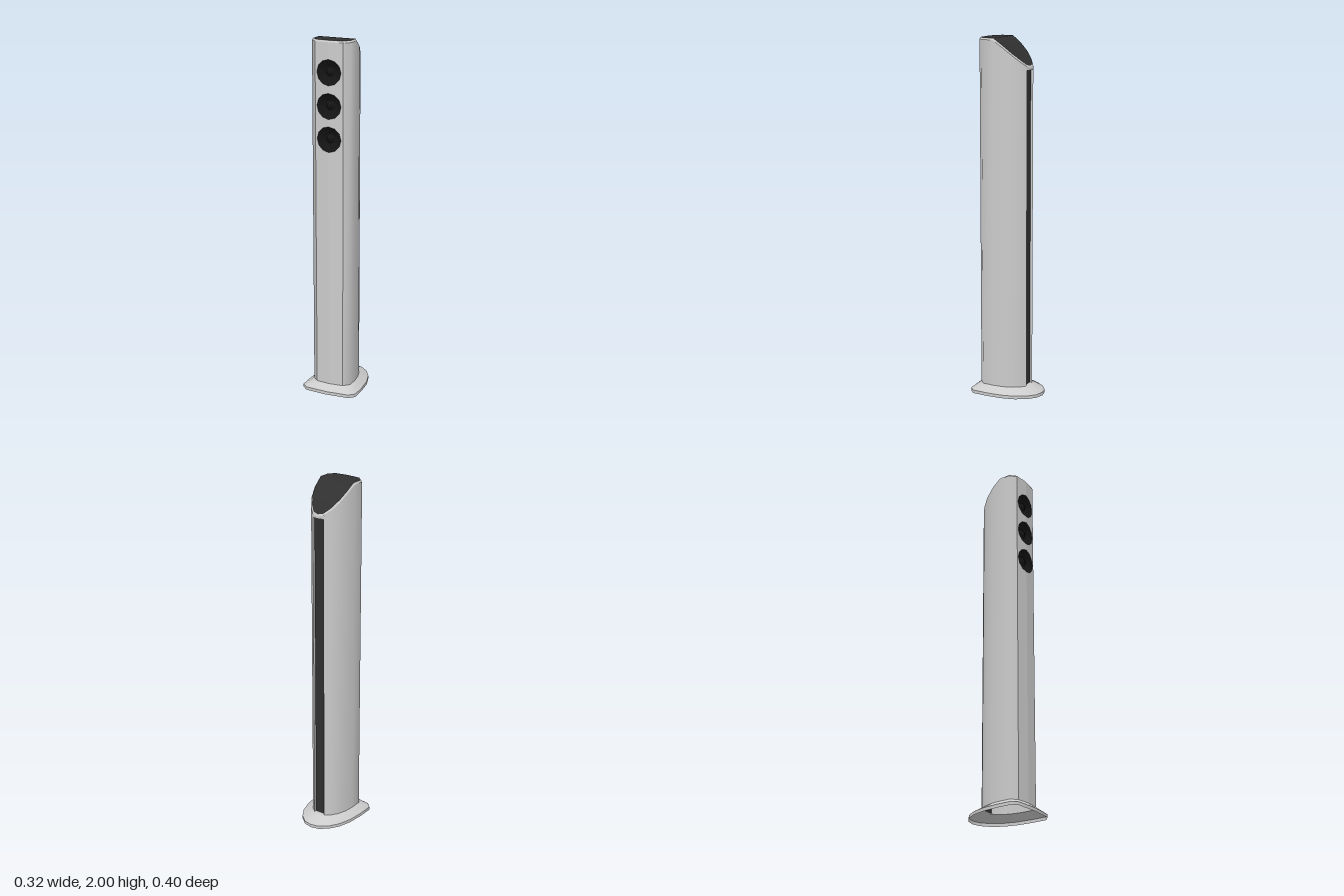
import * as THREE from 'three';
import { toCreasedNormals } from 'three/addons/utils/BufferGeometryUtils.js';

const grey = new THREE.MeshStandardMaterial({ color: 0xcccccc, side: THREE.DoubleSide });
const dark = new THREE.MeshStandardMaterial({ color: 0x303030, side: THREE.DoubleSide });
const black = new THREE.MeshStandardMaterial({ color: 0x141414, side: THREE.DoubleSide });

// Half outlines [x, z], from front centre round the left side to back centre
const column = [[0, 0.16], [0.08, 0.152], [0.113, 0.12], [0.113, 0.053], [0.107, 0],
  [0.09, -0.052], [0.064, -0.09], [0.034, -0.115], [0, -0.122]];
const foot = [[0, 0.2], [0.13, 0.19], [0.162, 0.16], [0.162, 0.07], [0.153, -0.02],
  [0.131, -0.093], [0.096, -0.15], [0.05, -0.188], [0, -0.2]];

const BOTTOM = 0.05, LIP = 1.83, SLOT_Z = -0.1, R = 0.07, SIDES = 12;
const DRIVERS = [1.47, 1.65, 1.83];

// Height of the sloping top, and the shallow V of the front face
const topY = z => { const t = Math.max(0, 0.053 - z); return 2 - 0.6 * t - 1.4 * t * t; };
const frontZ = x => 0.16 - 0.1 * Math.abs(x);

const mirror = pts => pts.map(([x, z]) => [-x, z]).reverse();
const loop = half => [...half, ...mirror(half).slice(1)];
const at = (pts, y) => pts.map(([x, z]) => [x, typeof y === 'function' ? y(z) : y, z]);

// Surface through rows of points of equal length
function skin(rows) {
  const n = rows[0].length, index = [];
  for (let r = 0; r < rows.length - 1; r++) {
    for (let i = 0; i < n - 1; i++) {
      const a = r * n + i, d = a + n;
      index.push(a, a + 1, d + 1, a, d + 1, d);
    }
  }
  const g = new THREE.BufferGeometry();
  g.setAttribute('position', new THREE.Float32BufferAttribute(rows.flat(2), 3));
  g.setIndex(index);
  return toCreasedNormals(g, 0.85);
}

export function createModel() {
  const model = new THREE.Group();
  model.name = 'towerSpeaker';
  const add = (name, geometry, material) => {
    const mesh = new THREE.Mesh(geometry, material);
    mesh.name = name;
    model.add(mesh);
    return mesh;
  };

  // Hollow flared foot
  add('foot', skin([at(loop(foot), 0), at(loop(foot), 0.018), at(loop(column), BOTTOM)]), grey);

  // Side walls, from the front panel to the slot in the back
  const shoulder = z => topY(z) - 0.01;
  const side = column.slice(1, 8);
  add('leftWall', skin([at(side, BOTTOM), at(side, shoulder)]), grey);
  add('rightWall', skin([at(mirror(side), BOTTOM), at(mirror(side), shoulder)]), grey);

  // Front panel halves with semicircular driver cut-outs
  for (const s of [1, -1]) {
    const shape = new THREE.Shape();
    shape.moveTo(0, BOTTOM);
    shape.lineTo(s * 0.08, BOTTOM);
    shape.lineTo(s * 0.08, 1.99);
    shape.lineTo(0, 1.99);
    for (const y of [...DRIVERS].reverse()) {
      for (let i = 0; i <= SIDES / 2; i++) {
        const a = i / SIDES * Math.PI * 2;
        shape.lineTo(s * R * Math.sin(a), y + R * Math.cos(a));
      }
    }
    const g = new THREE.ShapeGeometry(shape);
    const p = g.attributes.position;
    for (let i = 0; i < p.count; i++) p.setZ(i, frontZ(p.getX(i)));
    g.computeVertexNormals();
    add(s > 0 ? 'frontPanelLeft' : 'frontPanelRight', g, grey);
  }

  // Driver cones with a centre dome, rims following the front face
  const cone = [[0, -0.012], [0.013, -0.015], [0.022, -0.024], [0.028, -0.028], [0.06, -0.008], [R, 0]];
  for (const y of DRIVERS) {
    const g = new THREE.LatheGeometry(cone.map(([r, h]) => new THREE.Vector2(r, h)), SIDES);
    g.rotateX(Math.PI / 2);
    const p = g.attributes.position;
    for (let i = 0; i < p.count; i++) p.setZ(i, p.getZ(i) + frontZ(p.getX(i)));
    g.computeVertexNormals();
    add('driver', g, black).position.y = y;
  }

  // Back slot: cheeks, end shelves, dark strip and the lip above
  const e = column[7];
  for (const s of [1, -1]) {
    const cheek = [[s * e[0], e[1]], [s * e[0], SLOT_Z]];
    if (s < 0) cheek.reverse();
    add('slotCheek', skin([at(cheek, BOTTOM), at(cheek, LIP)]), grey);
  }
  const back = [e, column[8], [-e[0], e[1]]];
  const inner = back.map(([x]) => [x, SLOT_Z]);
  add('slotFloor', skin([at(back, BOTTOM), at(inner, BOTTOM)]), grey);
  add('slotCeiling', skin([at(inner, LIP), at(back, LIP)]), grey);
  add('backStrip', skin([at(inner, BOTTOM), at(inner, LIP)]), dark);
  add('backLip', skin([at(back, LIP), at(back, shoulder)]), grey);

  // Bevelled rim and the dark sloping cap
  const inset = column.map(([x, z]) => [x * 0.945, 0.02 + (z - 0.02) * 0.965]);
  const rim = loop(inset).map(([x, z], i) => [x, topY(loop(column)[i][1]), z]);
  add('topRim', skin([at(loop(column), shoulder), rim]), grey);
  const left = rim.slice(0, 9);
  add('topCap', skin([left.map(([x, y, z]) => [-x, y, z]), left].reverse()), dark)
    .geometry.scale(-1, 1, 1);
  const cap = model.getObjectByName('topCap');
  cap.geometry = skin([left, left.map(([x, y, z]) => [-x, y, z])]);
  return model;
}
